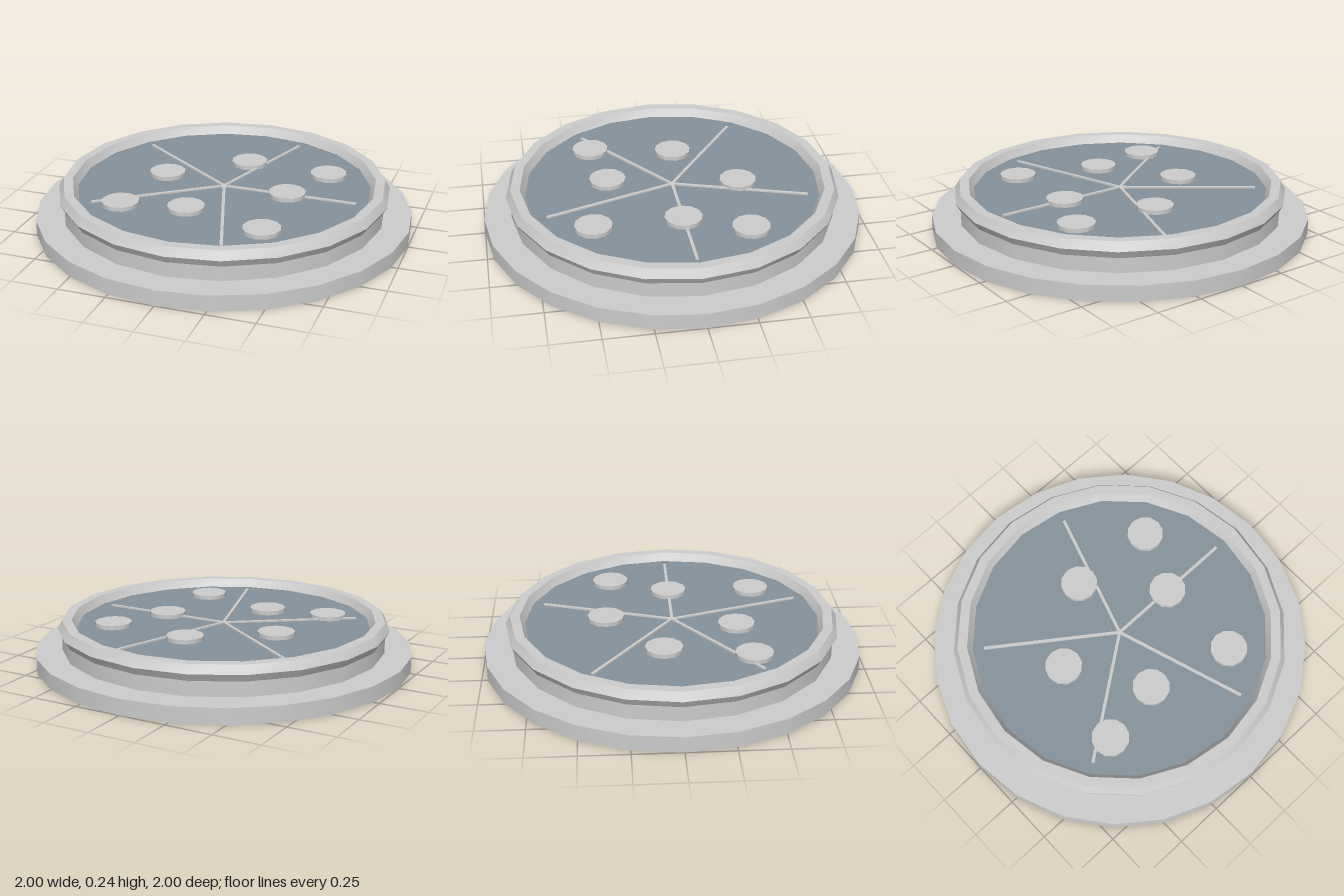
import * as THREE from 'three';
import { toCreasedNormals } from 'three/addons/utils/BufferGeometryUtils.js';

export function createModel() {
  const model = new THREE.Group();
  const grey = new THREE.MeshStandardMaterial({ color: 0xcccccc });
  const blueGrey = new THREE.MeshStandardMaterial({ color: 0x84929b });

  const add = (name, geometry, x = 0, y = 0, z = 0, material = grey) => {
    const mesh = new THREE.Mesh(geometry, material);
    mesh.name = name;
    mesh.position.set(x, y, z);
    model.add(mesh);
    return mesh;
  };
  // upright cylinder given by its bottom and top heights
  const disc = (name, radius, bottom, top, sides, x, z, material) =>
    add(name, new THREE.CylinderGeometry(radius, radius, top - bottom, sides),
      x, (bottom + top) / 2, z, material);

  // stepped base and wall
  disc('base', 1, 0, 0.083, 24);
  disc('wall', 0.857, 0.083, 0.185, 20);

  // six-sided rim around the top
  const rim = new THREE.TorusGeometry(0.83, 0.05, 6, 20).rotateX(-Math.PI / 2);
  add('rim', toCreasedNormals(rim, Math.PI / 5), 0, 0.2, 0);

  // coloured surface inside the rim
  disc('innerSurface', 0.82, 0.17, 0.198, 20, 0, 0, blueGrey);

  // five thin spokes from the centre
  const spokeGeometry = new THREE.BoxGeometry(0.72, 0.015, 0.016).translate(0.36, 0, 0);
  for (let i = 0; i < 5; i++) {
    add('spoke' + (i + 1), spokeGeometry, 0, 0.199, 0).rotation.y = (i * Math.PI * 2) / 5;
  }

  // scattered round studs
  [[0.03, -0.35], [0.49, -0.32], [-0.345, 0.06 * -1], [0.35, 0],
    [-0.09, 0.335], [-0.43, 0.39], [0.355, 0.46]]
    .forEach(([x, z], i) => disc('stud' + (i + 1), 0.098, 0.19, 0.22, 12, x, z));

  return model;
}
